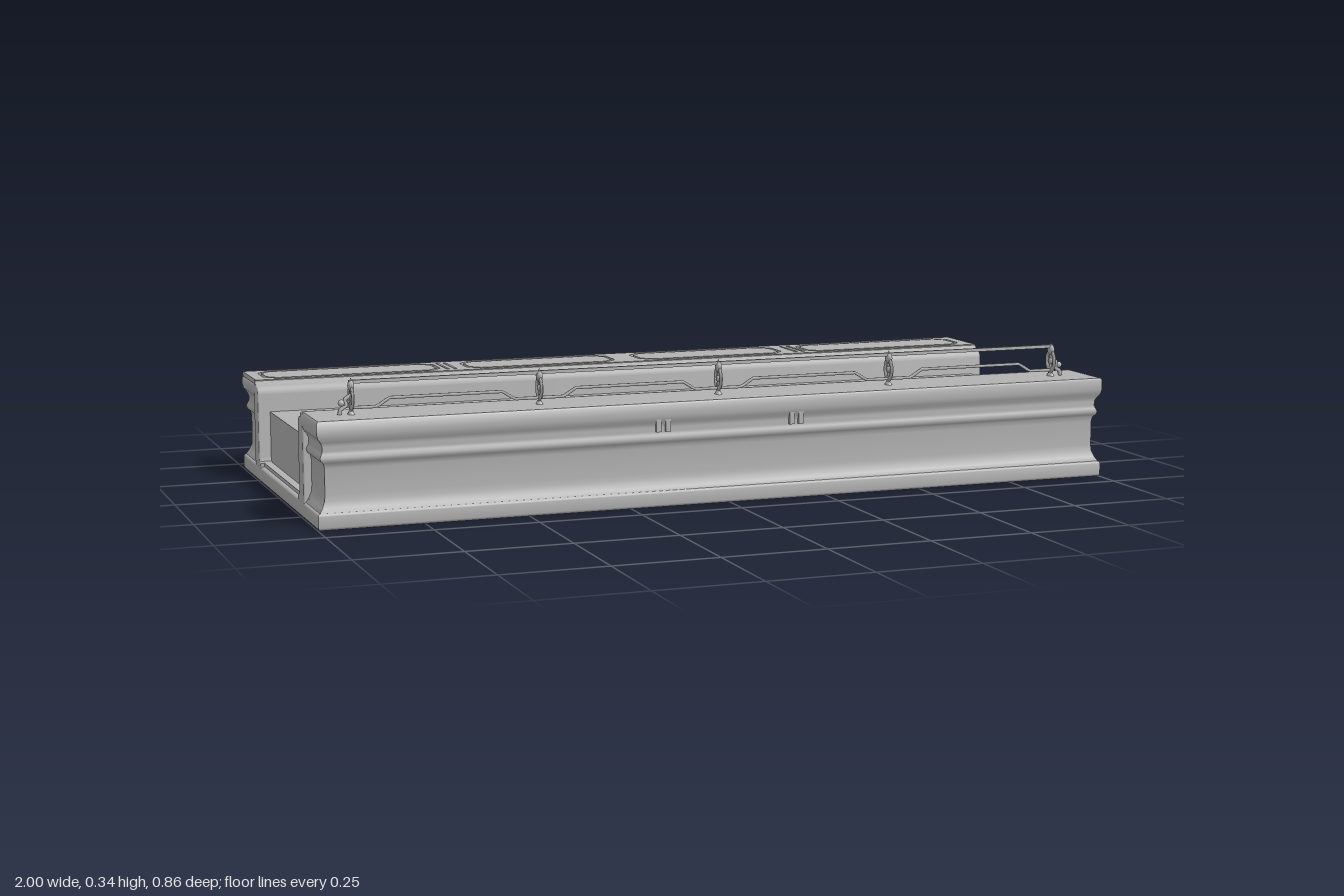
import * as THREE from 'three';
import { toCreasedNormals } from 'three/addons/utils/BufferGeometryUtils.js';

const stone = new THREE.MeshStandardMaterial({ color: 0xb2b2b2 });
stone.name = 'grey stone';

function add(parent, name, geo, x = 0, y = 0, z = 0) {
  const m = new THREE.Mesh(geo, stone);
  m.name = name;
  m.position.set(x, y, z);
  parent.add(m);
  return m;
}

const points = (list) => list.map(([x, y]) => new THREE.Vector2(x, y));
const rect = (x0, x1, y0, y1) => points([[x0, y0], [x1, y0], [x1, y1], [x0, y1]]);

// Rectangle with cut corners
function cutRect(x0, x1, y0, y1, c) {
  return points([[x0 + c, y0], [x1 - c, y0], [x1, y0 + c], [x1, y1 - c],
    [x1 - c, y1], [x0 + c, y1], [x0, y1 - c], [x0, y0 + c]]);
}

// Flat plate lying in xz, rising from y = 0 to y = height
function plate(outer, holes, height, bevel = 0) {
  const shape = new THREE.Shape(outer);
  for (const h of holes) shape.holes.push(new THREE.Path(h));
  const geo = new THREE.ExtrudeGeometry(shape, {
    depth: height - 2 * bevel, bevelEnabled: bevel > 0, bevelSize: bevel,
    bevelThickness: bevel, bevelOffset: -bevel, bevelSegments: 3,
  });
  geo.rotateX(Math.PI / 2).translate(0, height - bevel, 0);
  return toCreasedNormals(geo, 0.7);
}

// Moulded block: rings of [y, inset] with mitred corners
function mouldedBlock(rings, inner) {
  const pos = [], idx = [];
  for (const [y, d] of rings) {
    const X = 1 - d * 1.3, Z = 0.43 - d;
    pos.push(-X, y, Z, X, y, Z, X, y, inner, -X, y, inner);
  }
  for (let i = 0; i < rings.length - 1; i++) {
    for (let k = 0; k < 4; k++) {
      const a = i * 4 + k, b = i * 4 + (k + 1) % 4;
      idx.push(a, b, b + 4, a, b + 4, a + 4);
    }
  }
  const t = (rings.length - 1) * 4;
  idx.push(t, t + 1, t + 2, t, t + 2, t + 3);
  const geo = new THREE.BufferGeometry();
  geo.setAttribute('position', new THREE.Float32BufferAttribute(pos, 3));
  geo.setIndex(idx);
  return toCreasedNormals(geo, 0.8);
}

// One long parapet on the +z side
function makeWall(name, top) {
  const g = new THREE.Group();
  g.name = name;
  add(g, 'mouldedWall', mouldedBlock([
    [0.03, 0.003], [0.04, 0.004], [0.05, 0.009], [0.065, 0.014], [0.08, 0.015],
    [0.14, 0.015], [0.152, 0.013], [0.157, 0.008], [0.165, 0.006], [0.173, 0.009],
    [0.18, 0.011], [0.19, 0.011], [0.2, 0.008], [0.21, 0.002],
    [0.22, 0], [top - 0.005, 0], [top, 0.003]], 0.27));
  // Curb running full length along the deck
  const profile = new THREE.Shape(points([[0.28, 0.03], [0.28, 0.25], [0.264, 0.25],
    [0.258, 0.247], [0.253, 0.239], [0.24, 0.236], [0.234, 0.231], [0.23, 0.22],
    [0.23, 0.06], [0.226, 0.052], [0.215, 0.049], [0.215, 0.03]]));
  const b = 0.004;
  const curb = new THREE.ExtrudeGeometry(profile, {
    depth: 2 - 2 * b, bevelSize: b, bevelThickness: b, bevelOffset: -b, bevelSegments: 3,
  });
  curb.translate(0, 0, b - 1).rotateY(-Math.PI / 2);
  add(g, 'innerCurb', toCreasedNormals(curb, 0.8));
  return g;
}

function corbel(g, x, z) {
  for (const dx of [-0.012, 0.012]) {
    add(g, 'corbel', new THREE.BoxGeometry(0.012, 0.03, 0.014), x + dx, 0.195, z);
  }
}

// Railing post: stem, pierced ring ornament and finial, flattened in x
function makePost(x) {
  const g = new THREE.Group();
  g.name = 'railingPost';
  g.position.set(x, 0.25, 0.345);
  g.scale.x = 0.6;
  add(g, 'stem', new THREE.CylinderGeometry(0.005, 0.006, 0.08, 8), 0, 0.04, 0);
  add(g, 'foot', new THREE.CylinderGeometry(0.008, 0.014, 0.008, 12), 0, 0.004, 0);
  const ring = new THREE.TorusGeometry(0.019, 0.006, 6, 16);
  ring.rotateY(Math.PI / 2).scale(1, 1.25, 1);
  add(g, 'ringOrnament', ring, 0, 0.038, 0);
  add(g, 'knop', new THREE.SphereGeometry(0.009, 10, 8), 0, 0.038, 0);
  add(g, 'finialBase', new THREE.SphereGeometry(0.013, 10, 8), 0, 0.066, 0);
  add(g, 'finial', new THREE.ConeGeometry(0.01, 0.016, 10), 0, 0.077, 0);
  return g;
}

function railBar(path, radius) {
  const curve = new THREE.CurvePath();
  const v = path.map(([x, y]) => new THREE.Vector3(x, y, 0.345));
  for (let i = 0; i < v.length - 1; i++) curve.add(new THREE.LineCurve3(v[i], v[i + 1]));
  return new THREE.TubeGeometry(curve, 48, radius, 6);
}

function makeRailing() {
  const g = new THREE.Group();
  g.name = 'railing';
  add(g, 'topRail', new THREE.BoxGeometry(1.81, 0.008, 0.008), 0, 0.325, 0.345);
  [-0.9, -0.45, 0, 0.45, 0.9].forEach((x, i) => {
    g.add(makePost(x));
    if (i === 4) return;
    // Lower rail dips close to each post
    add(g, 'lowerRail', railBar([[x, 0.265], [x + 0.06, 0.265], [x + 0.09, 0.284],
      [x + 0.36, 0.284], [x + 0.39, 0.265], [x + 0.45, 0.265]], 0.004));
  });
  for (const s of [-1, 1]) {
    add(g, 'endScroll', railBar([[s * 0.9, 0.295], [s * 0.915, 0.285], [s * 0.912, 0.27],
      [s * 0.925, 0.262], [s * 0.928, 0.25]], 0.005));
    add(g, 'scrollKnob', new THREE.SphereGeometry(0.008, 10, 8), s * 0.923, 0.277, 0.345);
  }
  return g;
}

// Rough relief patches on the underside
function makeRelief() {
  const g = new THREE.Group();
  g.name = 'undersideRelief';
  let seed = 7;
  const rnd = () => (seed = (seed * 16807) % 2147483647) / 2147483647;
  for (let i = 0; i < 9; i++) {
    const pts = [], w = 0.06 + rnd() * 0.04, d = 0.035 + rnd() * 0.035;
    for (let k = 0; k < 18; k++) {
      const a = k / 18 * Math.PI * 2, r = 0.75 + rnd() * 0.45;
      pts.push(new THREE.Vector2(Math.cos(a) * w * r, Math.sin(a) * d * r));
    }
    add(g, 'reliefPatch', plate(pts, [], 0.009), -0.62 + i * 0.11, 0.018, (rnd() - 0.5) * 0.13);
  }
  return g;
}

// Cap of the back wall: a slab with four cut-corner panels set off by grooves
function makePanelCap() {
  const g = new THREE.Group();
  g.name = 'backWallPanels';
  const spans = [[-0.97, -0.51], [-0.44, -0.035], [0.03, 0.44], [0.51, 0.97]];
  const octagon = ([x0, x1], e) =>
    cutRect(x0 + e, x1 - e, -0.41 + e, -0.281 - e, 0.03 - e * 0.6);
  add(g, 'capSlab', plate(rect(-0.998, 0.998, -0.428, -0.262),
    spans.map((s) => octagon(s, 0)), 0.0115), 0, 0.24, 0);
  for (const s of spans) add(g, 'raisedPanel', plate(octagon(s, 0.009), [], 0.0115), 0, 0.24, 0);
  for (const x of [-0.485, 0.485]) {
    for (const dx of [-0.01, 0.01]) {
      add(g, 'panelDivider', new THREE.BoxGeometry(0.007, 0.005, 0.11), x + dx, 0.2505, -0.343);
    }
  }
  return g;
}

export function createModel() {
  const model = new THREE.Group();
  model.name = 'balustradedPlatform';

  // Plinth with a sunken underside
  add(model, 'plinth', plate(rect(-1, 1, -0.43, 0.43),
    [rect(-0.945, 0.945, -0.27, 0.27)], 0.04, 0.007));
  add(model, 'undersidePanel', new THREE.BoxGeometry(1.98, 0.024, 0.58), 0, 0.037, 0);
  model.add(makeRelief());

  // Deck between the walls
  add(model, 'deck', new THREE.BoxGeometry(1.94, 0.127, 0.48), 0, 0.1115, 0);

  const back = makeWall('backWall', 0.24);
  back.rotation.y = Math.PI;
  model.add(makeWall('frontWall', 0.25), back, makePanelCap());
  for (const x of [-0.17, 0.17]) corbel(model, x, 0.421);
  for (const x of [-0.48, 0, 0.48]) corbel(model, x, -0.421);

  model.add(makeRailing());
  return model;
}
